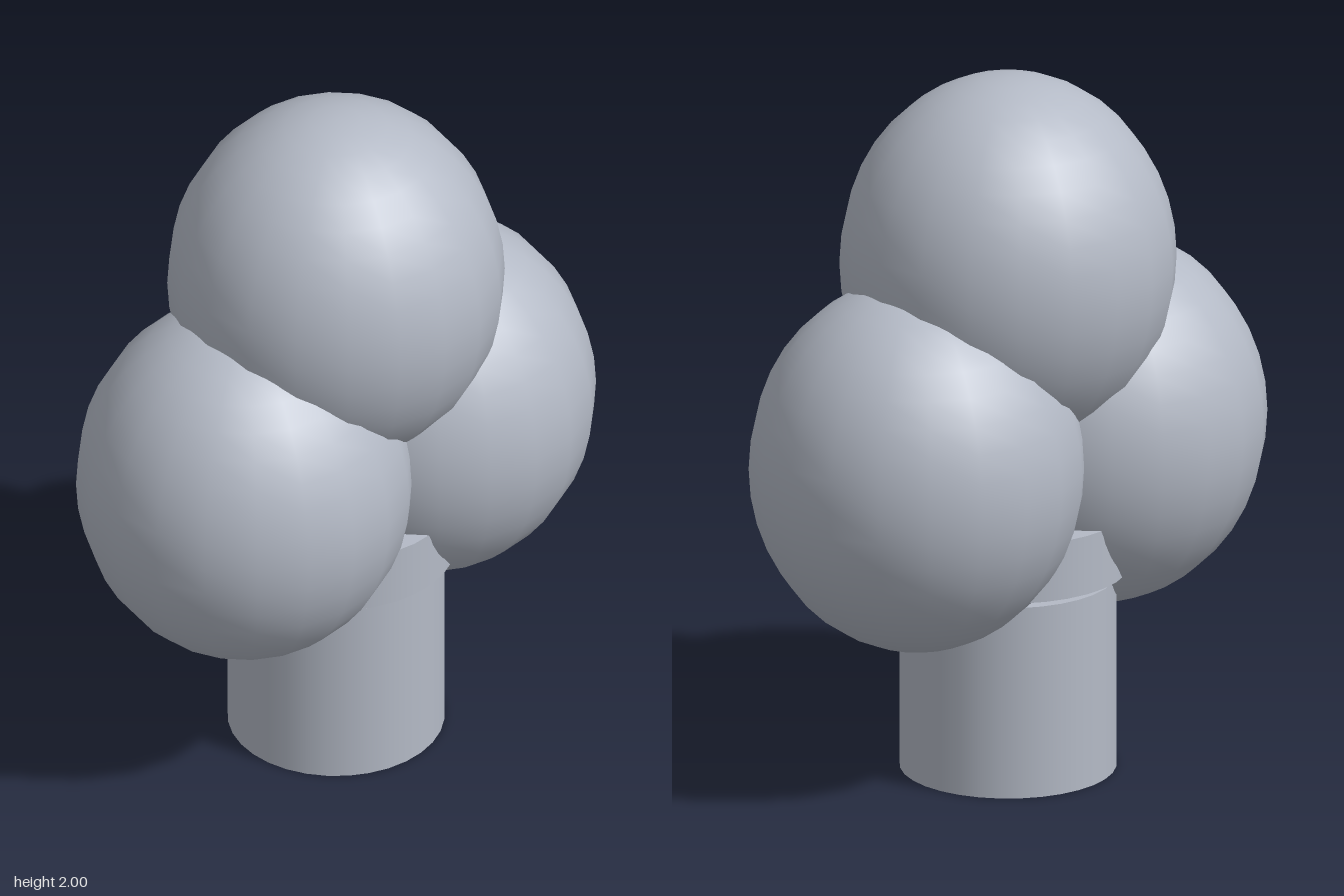
import * as THREE from 'three';

export function createModel() {
  const model = new THREE.Group();
  model.name = 'clubTree';
  const grey = new THREE.MeshStandardMaterial({ color: 0xb4bac6 });
  grey.name = 'pale blue grey';

  const add = (name, geometry, x, y) => {
    const mesh = new THREE.Mesh(geometry, grey);
    mesh.name = name;
    mesh.position.set(x, y, 0);
    model.add(mesh);
  };

  // Trunk and the short collar floating just above it
  const disc = (radius, height) => new THREE.CylinderGeometry(radius, radius, height, 32);
  add('trunk', disc(0.3, 0.555), 0, 0.2775);
  add('collar', disc(0.335, 0.17), 0, 0.665);

  // Three egg-shaped lobes, slightly taller than wide
  const lobe = new THREE.SphereGeometry(1, 20, 20).scale(0.467, 0.526, 0.467);
  add('leftLobe', lobe, 0.33, 0.946);
  add('rightLobe', lobe, -0.33, 0.946);
  add('topLobe', lobe, 0, 1.474);

  return model;
}
